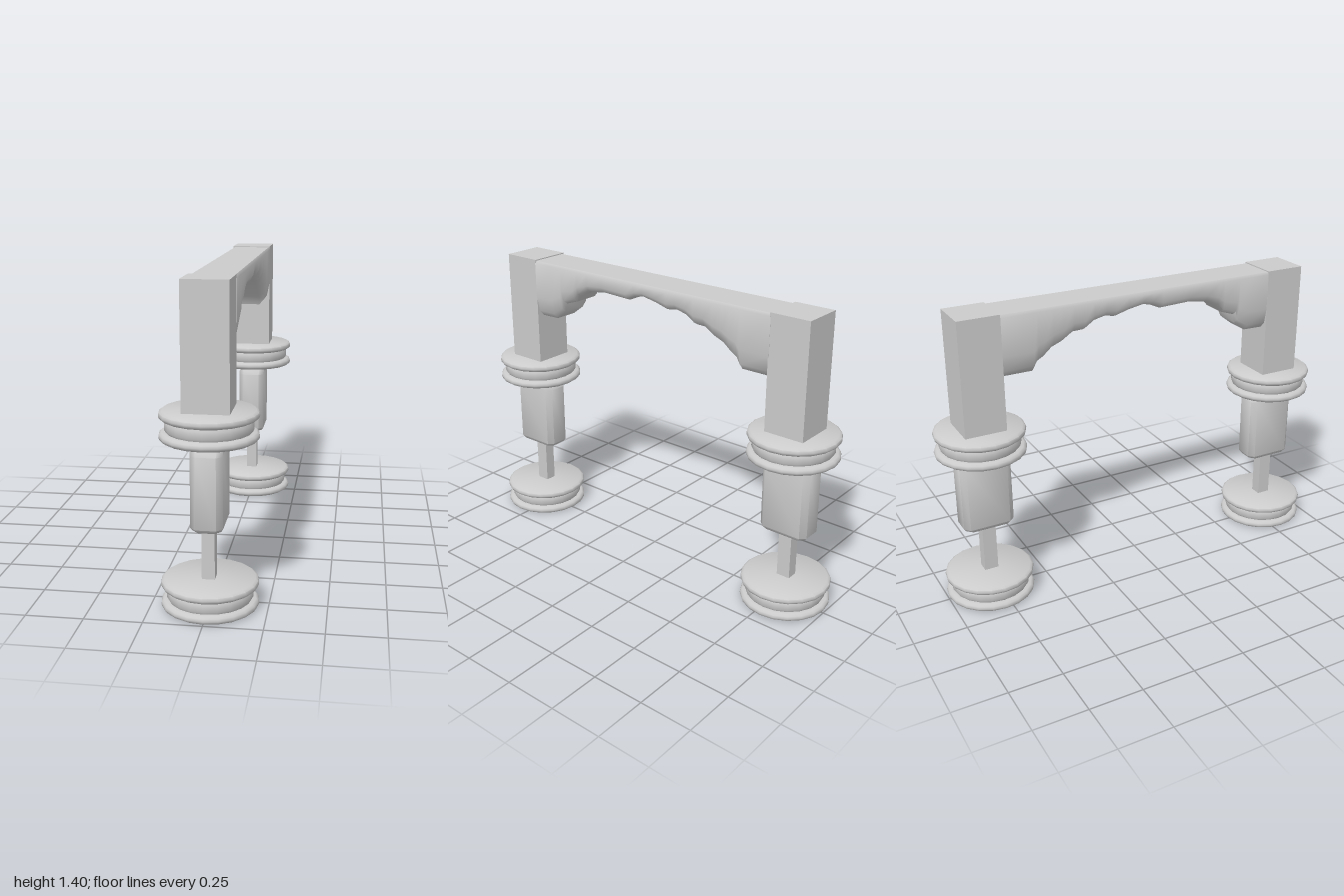
import * as THREE from 'three';
import { toCreasedNormals } from 'three/addons/utils/BufferGeometryUtils.js';

const material = new THREE.MeshStandardMaterial({ color: 0xcccccc });

// Closed loft through convex [x, y] rings (counter-clockwise) stacked along +z
function loft(sections, crease) {
  const n = sections[0].ring.length, last = (sections.length - 1) * n;
  const pos = [], idx = [];
  for (const { z, ring } of sections) for (const [x, y] of ring) pos.push(x, y, z);
  for (let i = 0; i < sections.length - 1; i++) {
    for (let j = 0; j < n; j++) {
      const a = i * n + j, b = i * n + (j + 1) % n;
      idx.push(a, b, a + n, b, b + n, a + n);
    }
  }
  for (let j = 1; j < n - 1; j++) idx.push(0, j + 1, j, last, last + j, last + j + 1);
  const g = new THREE.BufferGeometry();
  g.setAttribute('position', new THREE.Float32BufferAttribute(pos, 3));
  g.setIndex(idx);
  return toCreasedNormals(g, crease);
}

// Rectangle with chamfered corners
function chamferedRect(w, h, c) {
  return [[w, c - h], [w, h - c], [w - c, h], [c - w, h],
    [-w, h - c], [-w, c - h], [c - w, -h], [w - c, -h]];
}

function add(group, name, geometry, x, y, z) {
  const mesh = new THREE.Mesh(geometry, material);
  mesh.name = name;
  mesh.position.set(x, y, z);
  group.add(mesh);
}

// Spool-shaped disc: two rounded rims around a slightly bulging core
function discGeometry() {
  const profile = [[0, 0], [0.195, 0], [0.207, 0.008], [0.21, 0.018], [0.207, 0.029], [0.197, 0.036],
    [0.18, 0.037], [0.186, 0.048], [0.186, 0.078], [0.18, 0.09],
    [0.197, 0.091], [0.207, 0.098], [0.21, 0.108], [0.207, 0.119], [0.195, 0.127], [0, 0.127]];
  const g = new THREE.LatheGeometry(profile.map(([r, y]) => new THREE.Vector2(r, y)), 20);
  return toCreasedNormals(g, 0.75);
}

function sleeveGeometry() {
  const g = loft([
    { z: 0.363, ring: chamferedRect(0.058, 0.108, 0.025) },
    { z: 0.38, ring: chamferedRect(0.068, 0.122, 0.025) },
    { z: 0.69, ring: chamferedRect(0.068, 0.122, 0.025) },
    { z: 0.715, ring: chamferedRect(0.068, 0.105, 0.025) },
    { z: 0.74, ring: chamferedRect(0.068, 0.078, 0.025) },
  ], 0.9);
  return g.rotateX(-Math.PI / 2);
}

// Bridge with a rough, worn arch underneath: [z, height of the underside]
function archGeometry() {
  const underside = [[-0.7, 1.105], [-0.545, 1.105], [-0.525, 1.145], [-0.49, 1.165], [-0.45, 1.2],
    [-0.4, 1.22], [-0.35, 1.255], [-0.295, 1.257], [-0.25, 1.29], [-0.19, 1.305], [-0.14, 1.295],
    [-0.075, 1.315], [0, 1.33], [0.05, 1.32], [0.1, 1.297], [0.25, 1.303], [0.345, 1.29],
    [0.41, 1.26], [0.44, 1.225], [0.515, 1.2], [0.525, 1.155], [0.585, 1.11], [0.69, 1.108]];
  const top = 1.395, w = 0.099;
  return loft(underside.map(([z, y]) => {
    const h = top - y;
    const half = [[0.06, y], [0.085, y + h * 0.1], [w, y + h * 0.35], [w, top - 0.012], [w - 0.008, top]];
    return { z, ring: [...half, ...half.map(([x, v]) => [-x, v]).reverse()] };
  }), 0.9);
}

export function createModel() {
  const model = new THREE.Group();
  model.name = 'archedFrame';
  add(model, 'arch', archGeometry(), 0, 0, 0);

  const disc = discGeometry(), sleeve = sleeveGeometry();
  for (const [side, z, postZ] of [['front', 0.79, 0.785], ['back', -0.79, -0.793]]) {
    const leg = new THREE.Group();
    leg.name = side + 'Leg';
    add(leg, 'footDisc', disc, 0, 0, z);
    add(leg, 'rod', new THREE.BoxGeometry(0.056, 0.27, 0.066), -0.003, 0.25, z);
    add(leg, 'sleeve', sleeve, 0.002, 0, z);
    add(leg, 'upperDisc', disc, 0, 0.735, z);
    add(leg, 'post', new THREE.BoxGeometry(0.198, 0.56, 0.195), -0.001, 1.12, postZ);
    model.add(leg);
  }
  return model;
}
